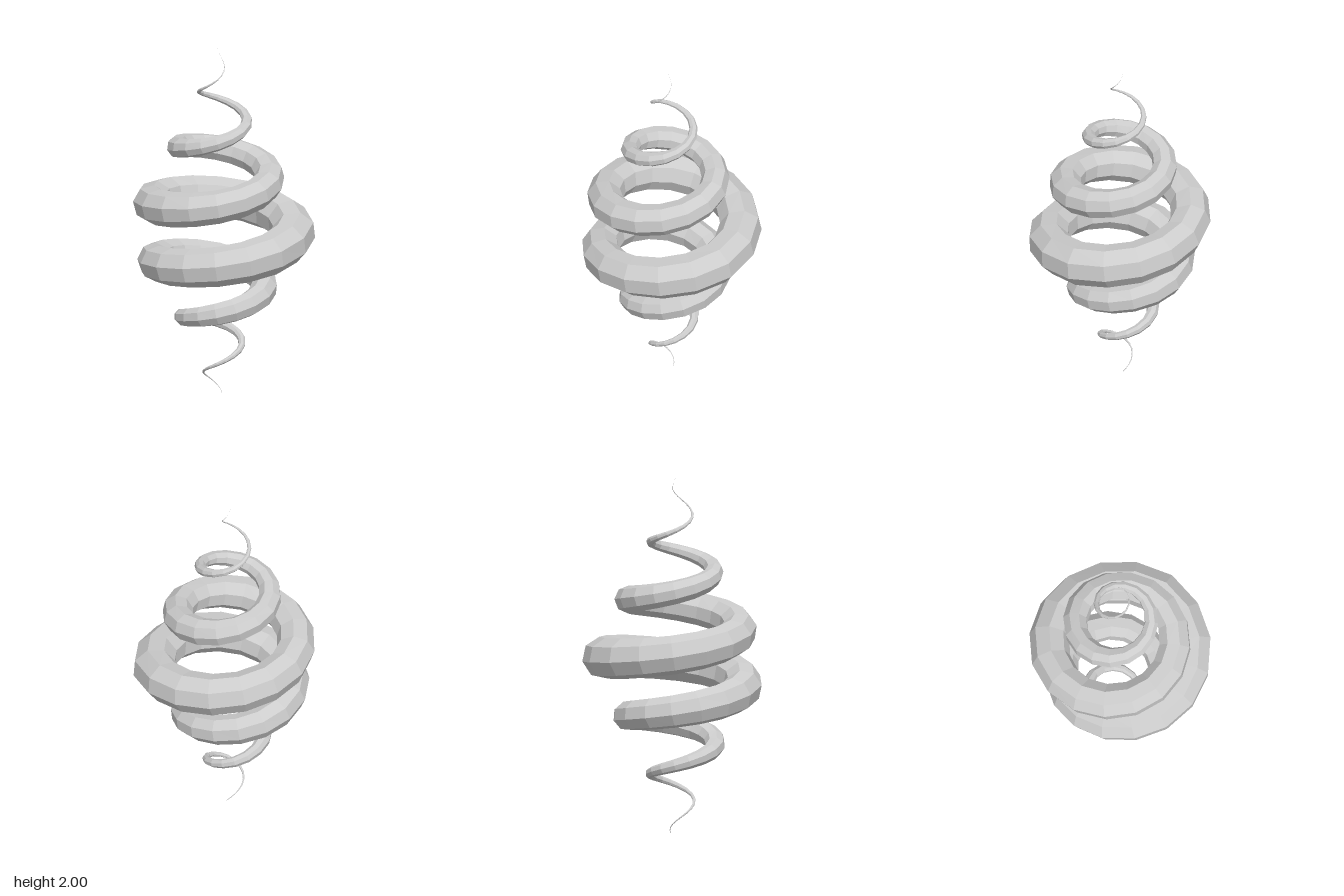
import * as THREE from 'three';

const STEPS = 100;   // path steps, 16 per turn
const SIDES = 8;     // octagonal section
const AXIS = { x: -0.03, z: -0.02 };

// outer radius of the coil by height
const PROFILE = [
  [0, 0.038], [0.08, 0.062], [0.16, 0.095], [0.4, 0.21], [0.64, 0.35],
  [0.8, 0.46], [0.88, 0.515], [0.92, 0.535], [0.96, 0.517], [1.04, 0.48],
  [1.2, 0.387], [1.44, 0.25], [1.76, 0.087], [1.92, 0.02], [2, 0],
];

function outerRadius(y) {
  let i = 1;
  while (i < PROFILE.length - 1 && PROFILE[i][0] < y) i++;
  const [y0, r0] = PROFILE[i - 1], [y1, r1] = PROFILE[i];
  return THREE.MathUtils.lerp(r0, r1, THREE.MathUtils.clamp((y - y0) / (y1 - y0), 0, 1));
}

// tube thickness shrinks faster than the coil near the tips
const tubeRadius = (y) => {
  const r = outerRadius(y);
  return r * 0.222 * Math.min(1, r / 0.28);
};

function radial(k) {
  const phi = (k * Math.PI) / 8;
  return new THREE.Vector3(Math.cos(phi), 0, -Math.sin(phi));
}

function pathPoint(k) {
  const y = 0.02 * k;
  return radial(k).multiplyScalar(outerRadius(y) - tubeRadius(y))
    .add(new THREE.Vector3(AXIS.x, y, AXIS.z));
}

function createCoilGeometry() {
  const points = [], tangents = [], twist = [0];
  for (let k = 0; k <= STEPS; k++) points.push(pathPoint(k));
  for (let k = 0; k <= STEPS; k++) {
    const a = points[Math.max(0, k - 1)], b = points[Math.min(STEPS, k + 1)];
    tangents.push(b.clone().sub(a).normalize());
    // the section rolls slowly as the path climbs
    if (k > 0) twist.push(twist[k - 1] + (Math.PI / 8) * tangents[k].y);
  }

  const positions = [], index = [];
  for (let k = 0; k <= STEPS; k++) {
    const t = tangents[k];
    const out = radial(k);
    out.addScaledVector(t, -out.dot(t)).normalize();
    const up = out.clone().cross(t);
    const r = tubeRadius(0.02 * k);
    for (let j = 0; j < SIDES; j++) {
      const a = ((j + 0.5) / SIDES) * Math.PI * 2 + twist[k] - twist[44];
      const p = points[k].clone()
        .addScaledVector(out, r * Math.cos(a))
        .addScaledVector(up, r * Math.sin(a));
      positions.push(p.x, p.y, p.z);
      if (k < STEPS) {
        const j1 = (j + 1) % SIDES;
        const a0 = k * SIDES + j, b0 = k * SIDES + j1;
        index.push(a0, a0 + SIDES, b0, b0, a0 + SIDES, b0 + SIDES);
      }
    }
  }
  const geometry = new THREE.BufferGeometry();
  geometry.setAttribute('position', new THREE.Float32BufferAttribute(positions, 3));
  geometry.setIndex(index);
  geometry.computeVertexNormals();
  return geometry;
}

export function createModel() {
  const group = new THREE.Group();
  group.name = 'taperedSpiral';
  const coil = new THREE.Mesh(
    createCoilGeometry(),
    new THREE.MeshStandardMaterial({ color: 0xcccccc, flatShading: true })
  );
  coil.name = 'coil';
  group.add(coil);
  return group;
}
